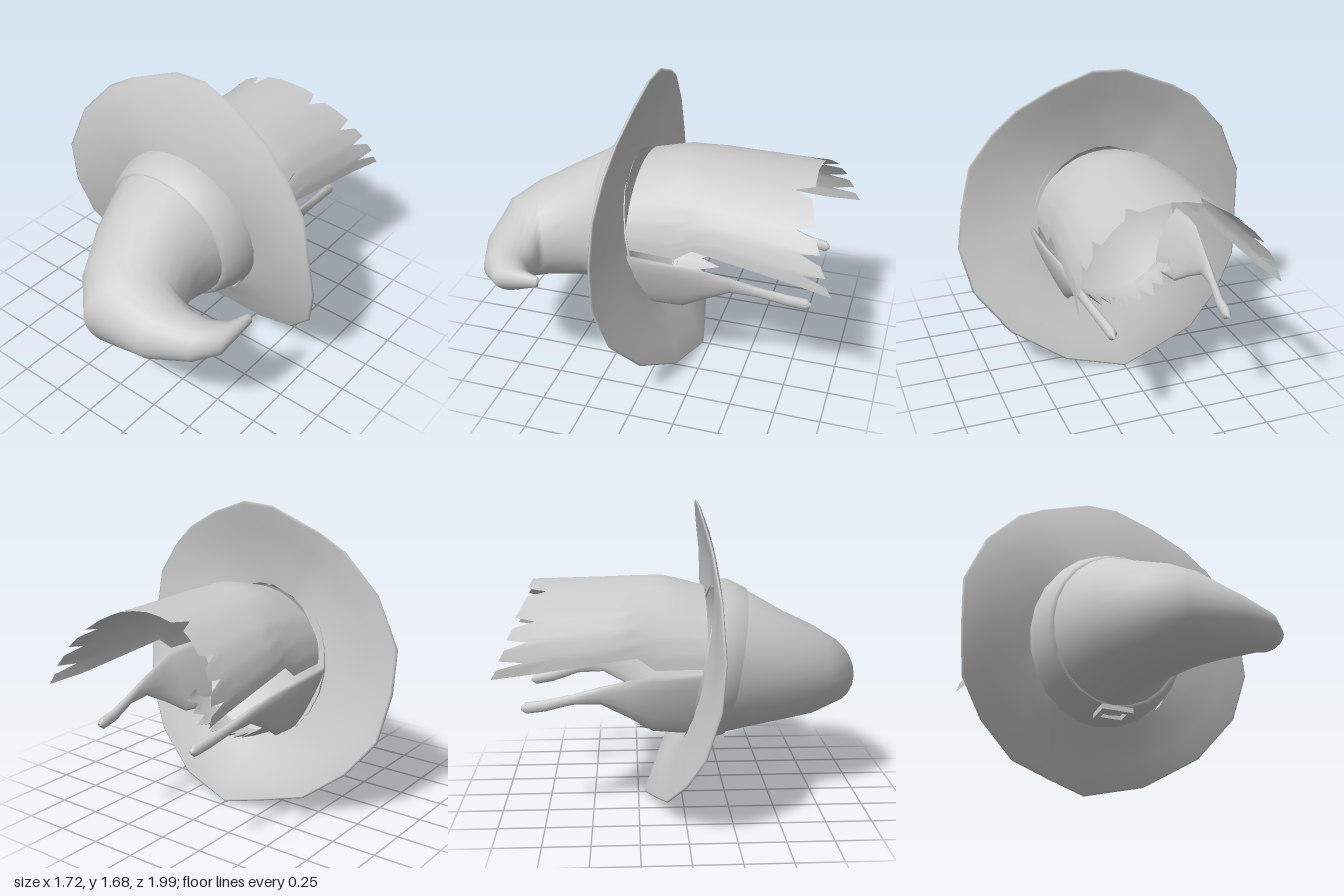
import * as THREE from 'three';

const material = new THREE.MeshStandardMaterial({ color: 0xcccccc, side: THREE.DoubleSide });

// Smooth surface through rows of points; closed rows wrap round
function skin(name, rows, closed = true) {
  const n = rows[0].length, index = [];
  for (let r = 0; r < rows.length - 1; r++) {
    for (let i = 0; i < (closed ? n : n - 1); i++) {
      const a = r * n + i, b = r * n + (i + 1) % n;
      index.push(a, b, a + n, b, b + n, a + n);
    }
  }
  const g = new THREE.BufferGeometry();
  g.setAttribute('position', new THREE.Float32BufferAttribute(rows.flat(2), 3));
  g.setIndex(index);
  g.computeVertexNormals();
  const mesh = new THREE.Mesh(g, material);
  mesh.name = name;
  return mesh;
}

// Elliptical ring: centre c, half axes u and v
function ring(c, u, v, n = 24) {
  return Array.from({ length: n }, (_, i) => {
    const t = i / n * Math.PI * 2;
    return c.map((k, j) => k + Math.cos(t) * u[j] + Math.sin(t) * v[j]);
  });
}

// Piecewise linear lookup in [key, value] pairs with rising keys
function lookup(pairs, x) {
  if (x <= pairs[0][0]) return pairs[0][1];
  for (let i = 1; i < pairs.length; i++) {
    const [x0, y0] = pairs[i - 1], [x1, y1] = pairs[i];
    if (x <= x1) return y0 + (y1 - y0) * (x - x0) / (x1 - x0);
  }
  return pairs[pairs.length - 1][1];
}

// Crown of the hat, bending sideways into a curled tip
function crown() {
  return skin('crown', [
    ring([-0.01, 0.78, 0.12], [0.42, 0, 0], [0, 0.43, 0.09]),
    ring([-0.02, 0.78, 0.30], [0.37, 0, 0], [0, 0.40, 0.07]),
    ring([0.01, 0.74, 0.52], [0.30, 0, -0.06], [0, 0.32, 0.05]),
    ring([0.10, 0.70, 0.72], [0.26, 0, -0.10], [0, 0.265, 0.03]),
    ring([0.21, 0.68, 0.81], [0.20, 0, -0.18], [0, 0.22, 0]),
    ring([0.41, 0.67, 0.80], [0.06, 0, -0.17], [0, 0.15, 0]),
    ring([0.58, 0.69, 0.75], [-0.02, 0, -0.12], [0, 0.105, 0]),
    ring([0.67, 0.70, 0.67], [-0.04, 0, -0.09], [0, 0.07, 0]),
    ring([0.70, 0.73, 0.51], [-0.022, 0, 0], [0, 0.03, 0]),
    ring([0.70, 0.73, 0.50], [0, 0, 0], [0, 0, 0]),
  ]);
}

// Band round the base of the crown, with its front lip
function band() {
  return skin('hatBand', [
    ring([-0.01, 0.79, 0.08], [0.45, 0, 0], [0, 0.46, 0.10]),
    ring([-0.01, 0.79, 0.17], [0.445, 0, 0], [0, 0.455, 0.09]),
    ring([-0.015, 0.78, 0.29], [0.405, 0, 0], [0, 0.415, 0.07]),
    ring([-0.02, 0.78, 0.29], [0.365, 0, 0], [0, 0.395, 0.07]),
  ]);
}

// Buckle: a flat frame under the band
function buckle() {
  const s = new THREE.Shape();
  s.moveTo(-0.09, -0.06).lineTo(0.09, -0.06).lineTo(0.09, 0.06).lineTo(-0.09, 0.06).closePath();
  const h = new THREE.Path();
  h.moveTo(-0.06, -0.035).lineTo(-0.06, 0.035).lineTo(0.06, 0.035).lineTo(0.06, -0.035).closePath();
  s.holes.push(h);
  const mesh = new THREE.Mesh(new THREE.ExtrudeGeometry(s, { depth: 0.03, bevelEnabled: false }), material);
  mesh.name = 'buckle';
  mesh.rotation.x = Math.PI / 2 - 0.12;
  mesh.position.set(0, 0.365, 0.175);
  return mesh;
}

// Wide floppy brim with an uneven rim
function brim() {
  const rim = [[0.08, 1.68], [-0.11, 1.67], [-0.4, 1.55], [-0.55, 1.46], [-0.74, 1.25], [-0.86, 0.97],
    [-0.85, 0.72], [-0.81, 0.46], [-0.67, 0.27], [-0.46, 0.11], [-0.22, 0.05], [0, 0], [0.33, 0.07],
    [0.62, 0.24], [0.8, 0.47], [0.855, 0.72], [0.82, 0.95], [0.77, 1.18], [0.64, 1.36], [0.5, 1.49], [0.3, 1.6]];
  const rimZ = [[0, -0.21], [0.11, -0.1], [0.35, 0.04], [0.46, 0.08], [0.7, 0.15], [0.95, 0.17],
    [1.2, 0.16], [1.4, 0.14], [1.68, 0.08]];
  const row = (k, dz) => rim.map(([x, y]) => {
    const a = Math.atan2((y - 0.79) / 0.88, x / 0.86);
    const ix = 0.41 * Math.cos(a), iy = 0.79 + 0.42 * Math.sin(a), iz = 0.1 + 0.09 * Math.sin(a);
    const sag = 0.02 * Math.sin(Math.PI * k) * Math.sin(a);
    return [ix + (x - ix) * k, iy + (y - iy) * k, iz + (lookup(rimZ, y) - iz) * k + sag + dz];
  });
  return skin('brim', [row(0, -0.012), row(0.33, -0.012), row(0.67, -0.012), row(0.97, -0.008), row(1, 0),
    row(0.97, 0.008), row(0.67, 0.012), row(0.33, 0.012), row(0, 0.012)]);
}

// Long back hair: an arched sheet with a ragged end
function backHair() {
  const half = [[0, -1], [6, -0.97], [9, -0.84], [12, -0.96], [19, -0.93], [23, -0.82], [26, -0.92], [34, -0.89],
    [38, -0.78], [42, -0.88], [52, -0.85], [61, -0.83], [66, -0.73], [71, -0.83], [80, -0.825]];
  const cols = [...half, [90, -0.82], ...half.map(([a, z]) => [180 - a, z]).reverse()];
  const width = [[-1, 0.53], [-0.8, 0.49], [-0.6, 0.47], [-0.2, 0.43], [0.1, 0.41]];
  const top = [[-0.8, 1.25], [-0.4, 1.26], [-0.1, 1.27], [0.12, 1.21]];
  const low = [[-1, 0.82], [-0.8, 0.835], [-0.25, 0.9], [-0.2, 0.83], [0.1, 0.83]];
  const rows = [];
  for (let r = 0; r <= 12; r++) {
    rows.push(cols.map(([deg, end]) => {
      const a = deg * Math.PI / 180, z = 0.12 + (end - 0.12) * r / 12, y0 = lookup(low, z);
      return [lookup(width, z) * Math.cos(a), y0 + (lookup(top, z) - y0) * Math.sin(a), z];
    }));
  }
  return skin('backHair', rows.reverse(), false);
}

// Ragged fringe along the lower edge
function fringe() {
  const ends = [-0.1, -0.2, -0.12, -0.23, -0.14, -0.26, -0.15, -0.24, -0.16, -0.27, -0.15, -0.25, -0.14, -0.27,
    -0.15, -0.22, -0.13, -0.2, -0.1];
  const rows = [0, 0.35, 0.7, 1].map(t => ends.map((end, i) => {
    const a = (215 + 110 * i / (ends.length - 1)) * Math.PI / 180, k = 1 - 0.1 * t * t;
    return [0.42 * k * Math.cos(a), 0.8 + 0.43 * k * Math.sin(a), 0.08 + (end - 0.08) * t];
  }));
  return skin('fringe', rows.reverse(), false);
}

// Side lock: broad at the brim, tapering to a thin strand
function sideLock(name, s) {
  // x, y, z, half height, lean, half thickness
  const path = [[0.31, 0.605, -0.875, 0.008, 0, 0.008], [0.31, 0.607, -0.85, 0.032, 0, 0.025],
    [0.32, 0.62, -0.75, 0.032, 0, 0.022], [0.35, 0.66, -0.6, 0.028, 0, 0.02], [0.37, 0.685, -0.45, 0.05, 0.01, 0.02],
    [0.38, 0.665, -0.3, 0.11, 0.03, 0.025], [0.38, 0.635, -0.17, 0.165, 0.06, 0.03], [0.37, 0.63, 0.1, 0.19, 0.08, 0.03]];
  return skin(name, path.map(([x, y, z, h, lean, w]) => ring([s * x, y, z], [w, 0, 0], [s * lean, h, 0], 12)));
}

// Hollow lining that closes the hat from behind
function lining() {
  const rows = [1, 0.85, 0.6, 0.3, 0].map(k =>
    ring([-0.01, 0.78, 0.1 + 0.16 * (1 - k * k)], [0.41 * k, 0, 0], [0, 0.42 * k, 0.08 * k]));
  return skin('lining', rows);
}

export function createModel() {
  const group = new THREE.Group();
  group.name = 'hatWithHair';
  group.add(crown(), band(), buckle(), brim(), backHair(), fringe(), lining(),
    sideLock('leftLock', 1), sideLock('rightLock', -1));
  return group;
}
